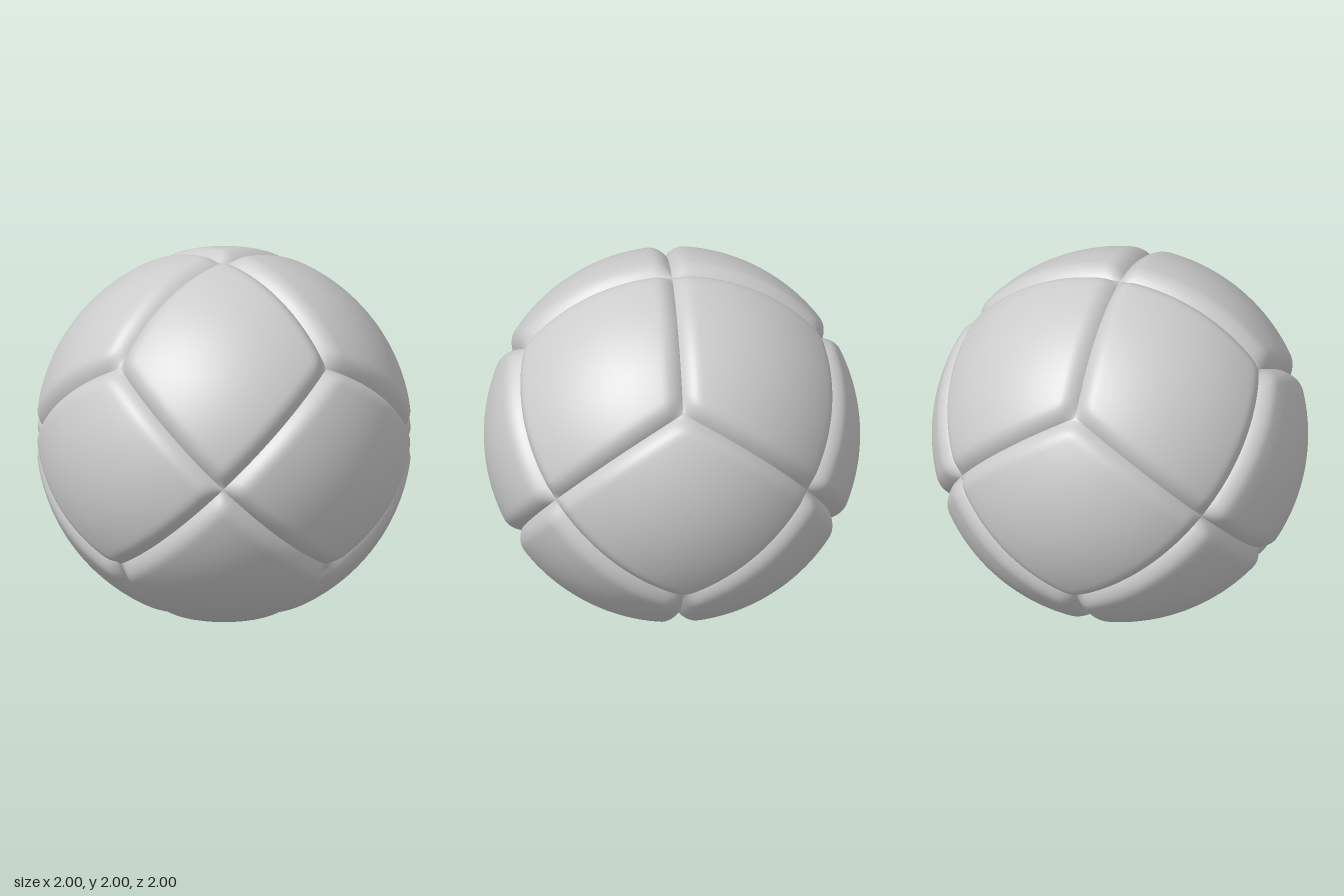
import * as THREE from 'three';

const GROOVE = 0.956;  // radius along the seams
const CROWN = 1.009;   // radius of the puffed panels
const BEVEL = 0.1;     // width of the rounded shoulder
const N = 44;          // grid steps per panel side

// rounded shoulder: 0 on a seam, 1 on the open panel
const shoulder = (d) => {
  const k = 1 - Math.min(Math.max(d / BEVEL, 0), 1);
  return 1 - k * k;
};

// one puffed rhombus between the axis directions a and b
function panelGeometry(a, b) {
  const c = new THREE.Vector3().crossVectors(a, b);
  const e1 = b.clone().sub(a).sub(c);
  const e2 = b.clone().sub(a).add(c);
  const positions = [], index = [];
  const step = (i) => (1 - Math.cos((Math.PI * i) / N)) / 2; // denser near the seams
  const p = new THREE.Vector3();

  for (let i = 0; i <= N; i++) {
    for (let j = 0; j <= N; j++) {
      p.copy(a).multiplyScalar(2).addScaledVector(e1, step(i)).addScaledVector(e2, step(j)).normalize();
      const pa = p.dot(a), pb = p.dot(b), pc = p.dot(c);
      // distance to each of the four bounding seams
      const h = [pa + pc, pa - pc, pb + pc, pb - pc]
        .reduce((m, d) => m * shoulder(Math.asin(d * Math.SQRT1_2)), 1);
      p.multiplyScalar(GROOVE + (CROWN - GROOVE) * h);
      positions.push(p.x, p.y, p.z);
      if (i < N && j < N) {
        const q = i * (N + 1) + j, r = q + N + 1;
        index.push(q, r, r + 1, q, r + 1, q + 1);
      }
    }
  }
  const g = new THREE.BufferGeometry();
  g.setAttribute('position', new THREE.Float32BufferAttribute(positions, 3));
  g.setIndex(index);
  g.computeVertexNormals();
  return g;
}

export function createModel() {
  const model = new THREE.Group();
  model.name = 'panelledBall';
  const grey = new THREE.MeshStandardMaterial({ color: 0xcccccc });
  grey.name = 'lightGrey';

  // twelve panels: one for each signed pair of axes
  const axes = [new THREE.Vector3(1, 0, 0), new THREE.Vector3(0, 1, 0), new THREE.Vector3(0, 0, 1)];
  let count = 0;
  for (let k = 0; k < 3; k++) {
    for (const sa of [1, -1]) {
      for (const sb of [1, -1]) {
        const a = axes[k].clone().multiplyScalar(sa);
        const b = axes[(k + 1) % 3].clone().multiplyScalar(sb);
        const panel = new THREE.Mesh(panelGeometry(a, b), grey);
        panel.name = `panel${++count}`;
        panel.position.y = 1;
        model.add(panel);
      }
    }
  }
  return model;
}
